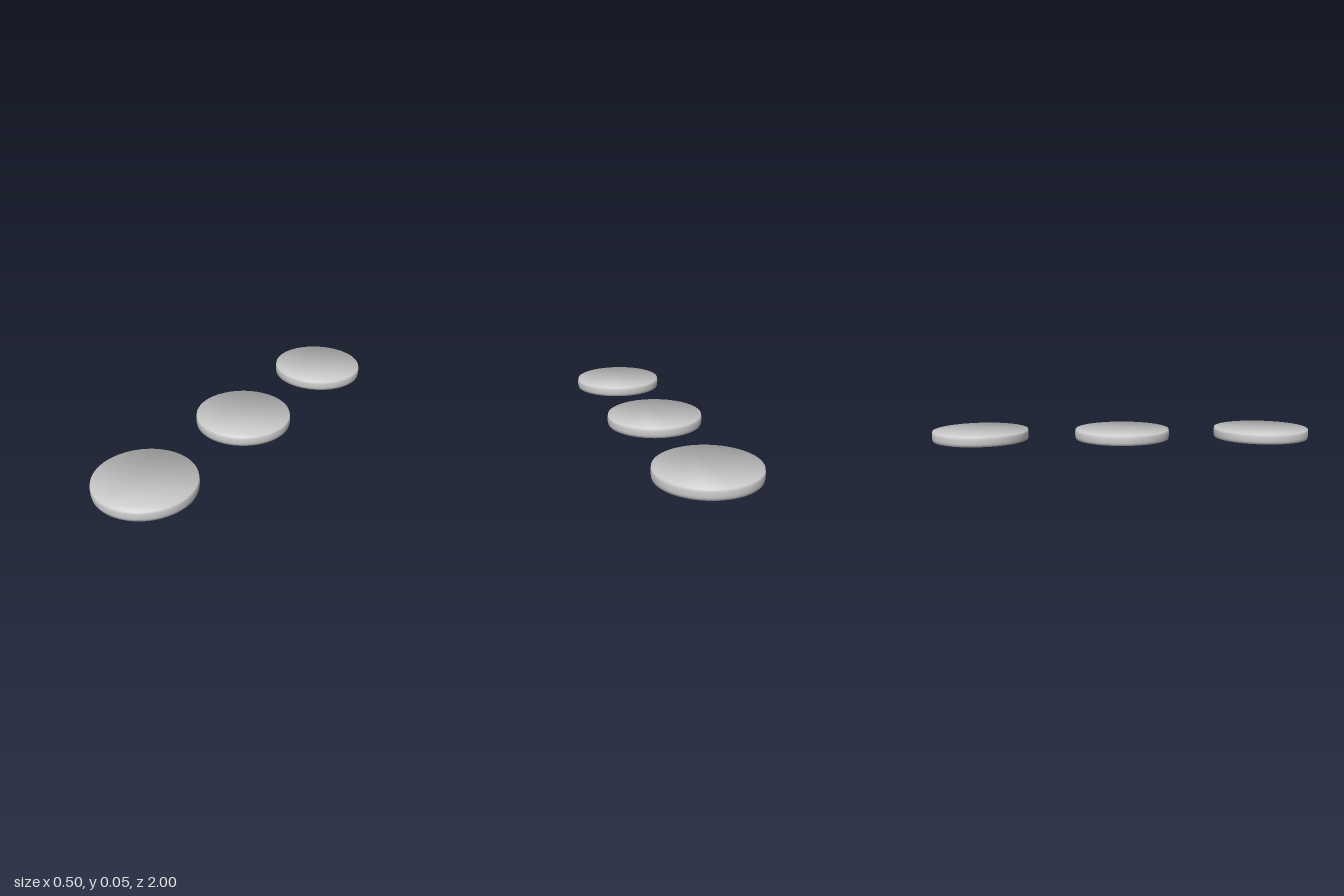
import * as THREE from 'three';

const RADIUS = 0.251, BULGE = 0.003, HALF = 0.025, SEGMENTS = 64, RINGS = 5;

// One disc: a gently bulging edge, closed by flat caps that share the rim
// vertices, so the shading rolls smoothly over the edge.
function discGeometry() {
  const profile = [];
  for (let j = 0; j < RINGS; j++) {
    const t = (j / (RINGS - 1)) * 2 - 1;
    profile.push(new THREE.Vector2(RADIUS - BULGE * t * t, HALF + HALF * t));
  }
  const geometry = new THREE.LatheGeometry(profile, SEGMENTS);

  // Cap fans across the top and bottom rims
  const index = Array.from(geometry.index.array);
  const bottom = (i) => i * RINGS;
  const top = (i) => i * RINGS + RINGS - 1;
  for (let i = 1; i < SEGMENTS - 1; i++) {
    index.push(top(0), top(i), top(i + 1));
    index.push(bottom(0), bottom(i + 1), bottom(i));
  }
  geometry.setIndex(index);

  // Smooth normals: near horizontal on the edge, tilted halfway at the rims
  const normal = geometry.attributes.normal;
  const n = new THREE.Vector3();
  for (let i = 0; i <= SEGMENTS; i++) {
    const a = (i / SEGMENTS) * Math.PI * 2;
    for (let j = 0; j < RINGS; j++) {
      const t = (j / (RINGS - 1)) * 2 - 1;
      const tilt = Math.abs(t) === 1 ? 1.14 * t : (2 * BULGE / HALF) * t;
      n.set(Math.sin(a), tilt, Math.cos(a)).normalize();
      normal.setXYZ(i * RINGS + j, n.x, n.y, n.z);
    }
  }
  return geometry;
}

export function createModel() {
  const model = new THREE.Group();
  model.name = 'discRow';
  const material = new THREE.MeshStandardMaterial({ color: 0xcccccc });
  const geometry = discGeometry();

  // Three equal discs in a row from front to back
  ['frontDisc', 'middleDisc', 'backDisc'].forEach((name, k) => {
    const disc = new THREE.Mesh(geometry, material);
    disc.name = name;
    disc.position.z = (1 - k) * (1 - RADIUS);
    model.add(disc);
  });
  return model;
}
